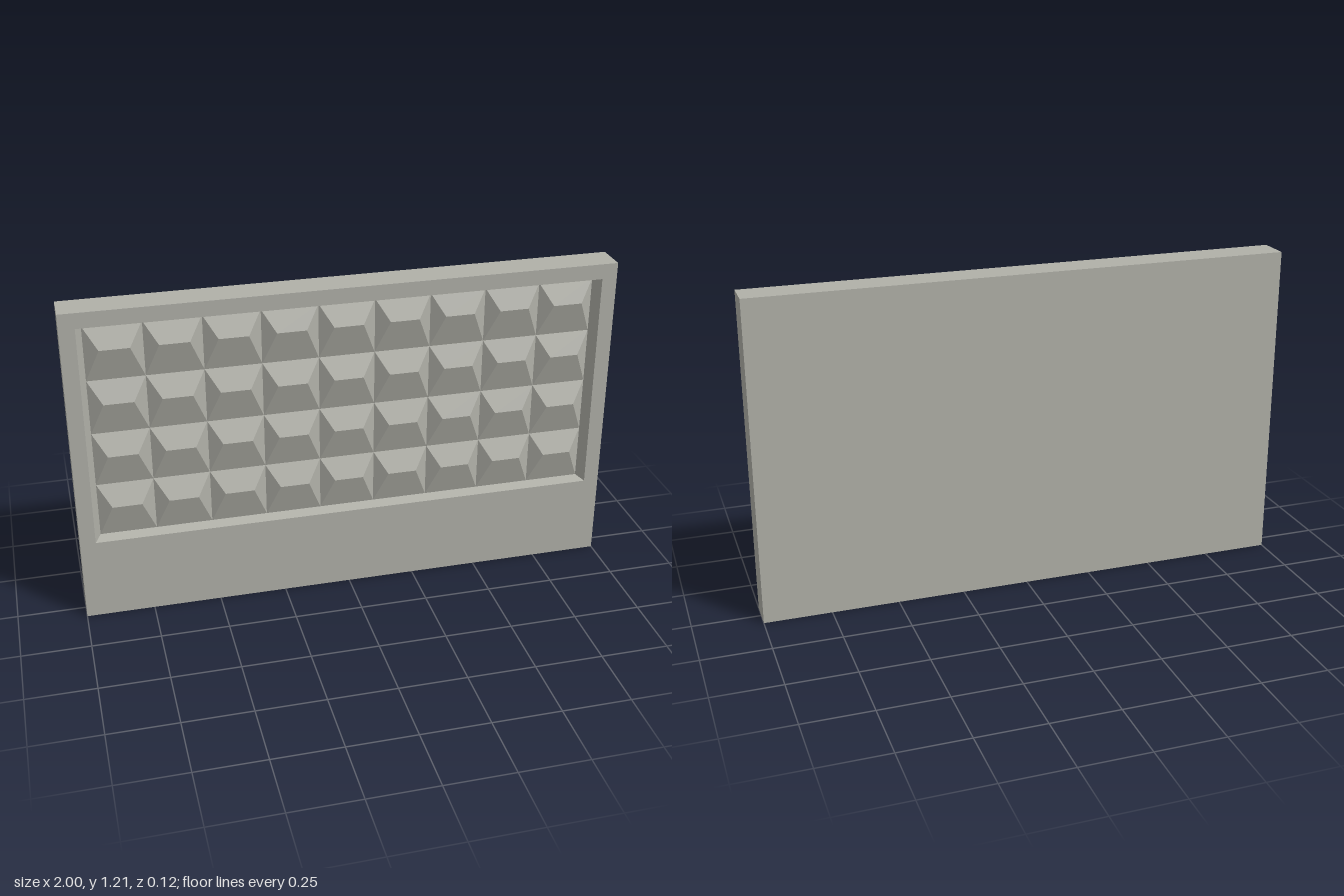
import * as THREE from 'three';

const FRONT = 0.06, BASE = 0.02, RIDGE = 0.055, HEIGHT = 1.205;
const COLS = 9, ROWS = 4;
const opening = { x: 0.944, y0: 0.31, y1: 1.148 }; // recess edge on the front face
const field = { x: 0.922, y0: 0.321, y1: 1.139 };  // tiled area at the recess floor

// Flat-faced geometry from convex polygons, corners counter-clockwise
function facets(polygons) {
  const pos = [];
  for (const p of polygons) {
    for (let i = 1; i < p.length - 1; i++) pos.push(...p[0], ...p[i], ...p[i + 1]);
  }
  const geo = new THREE.BufferGeometry();
  geo.setAttribute('position', new THREE.Float32BufferAttribute(pos, 3));
  geo.computeVertexNormals();
  return geo;
}

const rect = ({ x, y0, y1 }, z) => [[-x, y0, z], [x, y0, z], [x, y1, z], [-x, y1, z]];

export function createModel() {
  const group = new THREE.Group();
  const stone = new THREE.MeshStandardMaterial({ color: 0xb0b0a8 });
  stone.name = 'grey concrete';
  const add = (geo, name, parent = group) => {
    const mesh = new THREE.Mesh(geo, stone);
    mesh.name = name;
    parent.add(mesh);
    return mesh;
  };

  // Solid back of the panel
  const slab = add(new THREE.BoxGeometry(2, HEIGHT, BASE + FRONT), 'backSlab');
  slab.position.set(0, HEIGHT / 2, (BASE - FRONT) / 2);

  // Front border around the recess
  const toPoints = (r) => rect(r, 0).map(([x, y]) => new THREE.Vector2(x, y));
  const border = new THREE.Shape(toPoints({ x: 1, y0: 0, y1: HEIGHT }));
  border.holes.push(new THREE.Path(toPoints(opening).reverse()));
  const frame = add(
    new THREE.ExtrudeGeometry(border, { depth: FRONT - BASE, bevelEnabled: false }),
    'frontFrame');
  frame.position.z = BASE;

  // Splayed walls of the recess
  const outer = rect(opening, FRONT), inner = rect(field, BASE);
  add(facets(outer.map((p, i) => {
    const j = (i + 1) % 4;
    return [p, outer[j], inner[j], inner[i]];
  })), 'recessWalls');

  // Hipped tile: a short ridge above the middle, sloping to four corners
  const w = field.x * 2 / COLS, h = (field.y1 - field.y0) / ROWS;
  const [a, b, c, d] = rect({ x: w / 2, y0: 0, y1: h }, 0);
  const ridgeY = h * 0.605, rise = RIDGE - BASE;
  const l = [-w * 0.26, ridgeY, rise], r = [w * 0.26, ridgeY, rise];
  const tileGeo = facets([[a, b, r, l], [b, c, r], [c, d, l, r], [d, a, l]]);

  const tiles = new THREE.Group();
  tiles.name = 'reliefTiles';
  group.add(tiles);
  for (let row = 0; row < ROWS; row++) {
    for (let col = 0; col < COLS; col++) {
      const tile = add(tileGeo, 'reliefTile', tiles);
      tile.position.set(-field.x + (col + 0.5) * w, field.y0 + row * h, BASE);
    }
  }
  return group;
}
